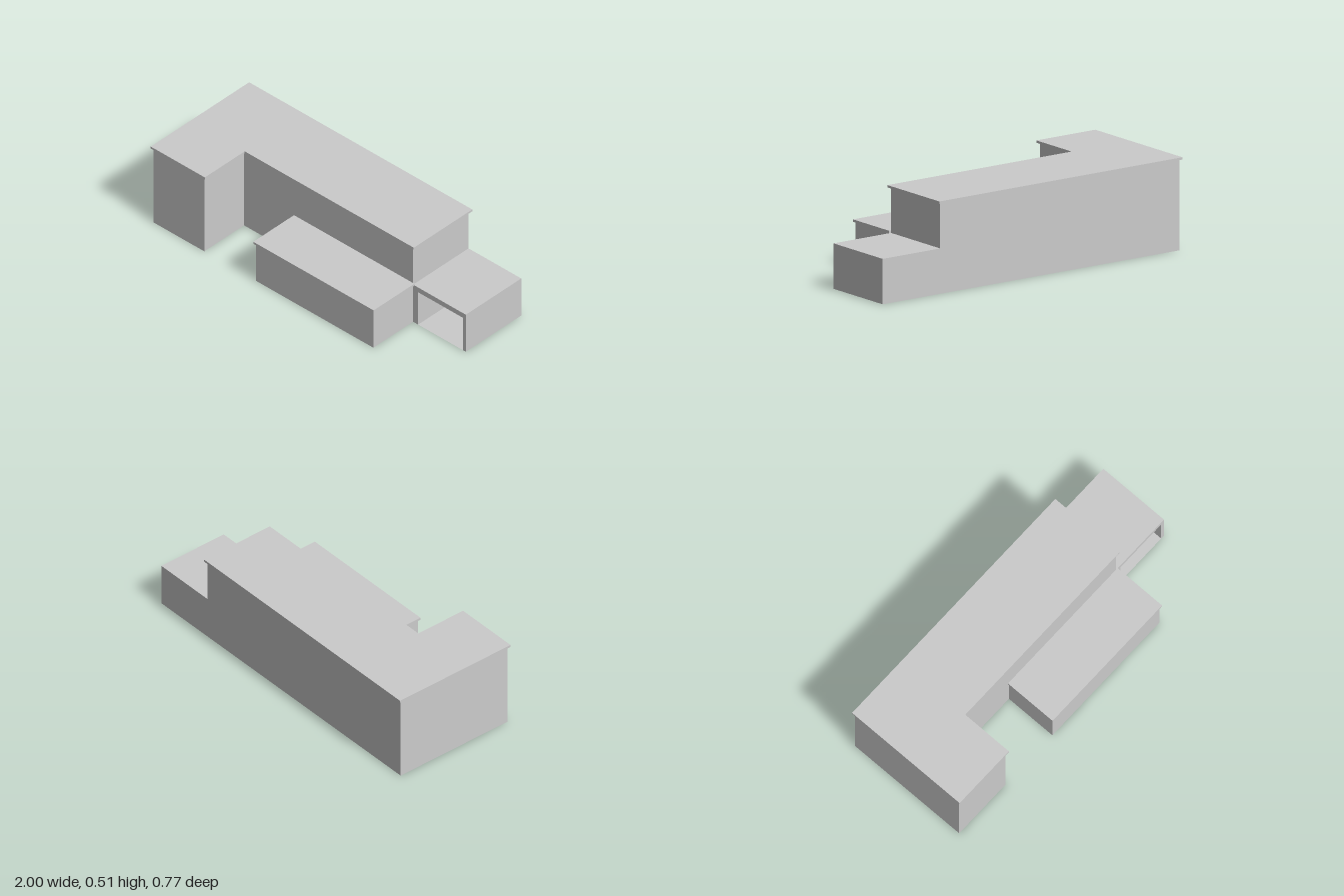
import * as THREE from 'three';

const material = new THREE.MeshStandardMaterial({ color: 0xcccccc, flatShading: true, side: THREE.DoubleSide });

// Main plan lines
const BACK = -0.372, MID = 0.062, FRONT = 0.373;
const LEFT = -0.99, WING = -0.62, ANNEX = -0.243, RIGHT = 0.615, END = 1;
const LOW = 0.25, HIGH = 0.5, SLAB = 0.013;

function add(group, name, geometry) {
  const mesh = new THREE.Mesh(geometry, material);
  mesh.name = name;
  group.add(mesh);
  return mesh;
}

// Thin upright wall between two plan points [x, z]
function wall(group, name, a, b, y0, y1) {
  const dx = b[0] - a[0], dz = b[1] - a[1];
  const mesh = add(group, name, new THREE.PlaneGeometry(Math.hypot(dx, dz), y1 - y0));
  mesh.position.set((a[0] + b[0]) / 2, (y0 + y1) / 2, (a[1] + b[1]) / 2);
  mesh.rotation.y = Math.atan2(-dz, dx);
}

// Level sheet such as a floor or ceiling
function sheet(group, name, x0, x1, z0, z1, y) {
  const mesh = add(group, name, new THREE.PlaneGeometry(x1 - x0, z1 - z0).rotateX(-Math.PI / 2));
  mesh.position.set((x0 + x1) / 2, y, (z0 + z1) / 2);
}

// Roof slab extruded upward from a plan outline of [x, z] points
function slab(group, name, outline, y) {
  const shape = new THREE.Shape(outline.map(([x, z]) => new THREE.Vector2(x, -z)));
  const geometry = new THREE.ExtrudeGeometry(shape, { depth: SLAB, bevelEnabled: false });
  add(group, name, geometry.rotateX(-Math.PI / 2)).position.y = y;
}

function part(parent, name) {
  const group = new THREE.Group();
  group.name = name;
  parent.add(group);
  return group;
}

export function createModel() {
  const model = new THREE.Group();
  model.name = 'building';

  // Tall L-shaped block, open underneath and into the annex
  const main = part(model, 'mainBlock');
  wall(main, 'backWall', [RIGHT, BACK], [LEFT, BACK], 0, HIGH);
  wall(main, 'outerSideWall', [LEFT, BACK], [LEFT, FRONT], 0, HIGH);
  wall(main, 'wingFrontWall', [LEFT, FRONT], [WING, FRONT], 0, HIGH);
  wall(main, 'wingInnerWall', [WING, FRONT], [WING, MID], 0, HIGH);
  wall(main, 'courtWall', [WING, MID], [ANNEX, MID], 0, HIGH);
  wall(main, 'upperFrontWall', [ANNEX, MID], [RIGHT, MID], LOW, HIGH);
  wall(main, 'upperSideWall', [RIGHT, MID], [RIGHT, BACK], LOW, HIGH);
  slab(main, 'mainRoof', [
    [-1, -0.385], [0.63, -0.385], [0.63, 0.073], [-0.605, 0.073], [-0.605, 0.385], [-1, 0.385],
  ], HIGH);

  // Low front annex
  const annex = part(model, 'frontAnnex');
  wall(annex, 'annexInnerWall', [ANNEX, MID], [ANNEX, FRONT], 0, LOW);
  wall(annex, 'annexFrontWall', [ANNEX, FRONT], [RIGHT, FRONT], 0, LOW);
  wall(annex, 'annexOuterWall', [RIGHT, FRONT], [RIGHT, MID], 0, LOW);
  sheet(annex, 'annexFloor', ANNEX, RIGHT, MID, FRONT, 0);
  slab(annex, 'annexRoof', [
    [-0.253, 0.064], [0.626, 0.064], [0.626, 0.383], [-0.253, 0.383],
  ], LOW);

  // Garage: outer shell, framed front and the lined bay behind it
  const garage = part(model, 'garage');
  const [bay0, bay1, bayTop] = [0.652, 0.978, 0.218];
  wall(garage, 'garageBackWall', [END, BACK], [RIGHT, BACK], 0, LOW);
  wall(garage, 'garageSideWall', [END, MID], [END, BACK], 0, LOW);
  sheet(garage, 'garageRoof', RIGHT, END, BACK, MID, LOW);
  const frame = new THREE.Shape([
    [RIGHT, 0], [bay0, 0], [bay0, bayTop], [bay1, bayTop],
    [bay1, 0], [END, 0], [END, LOW], [RIGHT, LOW],
  ].map(([x, y]) => new THREE.Vector2(x, y)));
  add(garage, 'garageFrontFrame', new THREE.ShapeGeometry(frame)).position.z = MID;
  for (const x of [bay0, bay1]) wall(garage, 'bayLining', [x, BACK], [x, MID], 0, bayTop);
  sheet(garage, 'bayCeiling', bay0, bay1, BACK, MID, bayTop);
  sheet(garage, 'bayFloor', bay0, bay1, BACK, MID, 0);

  return model;
}
